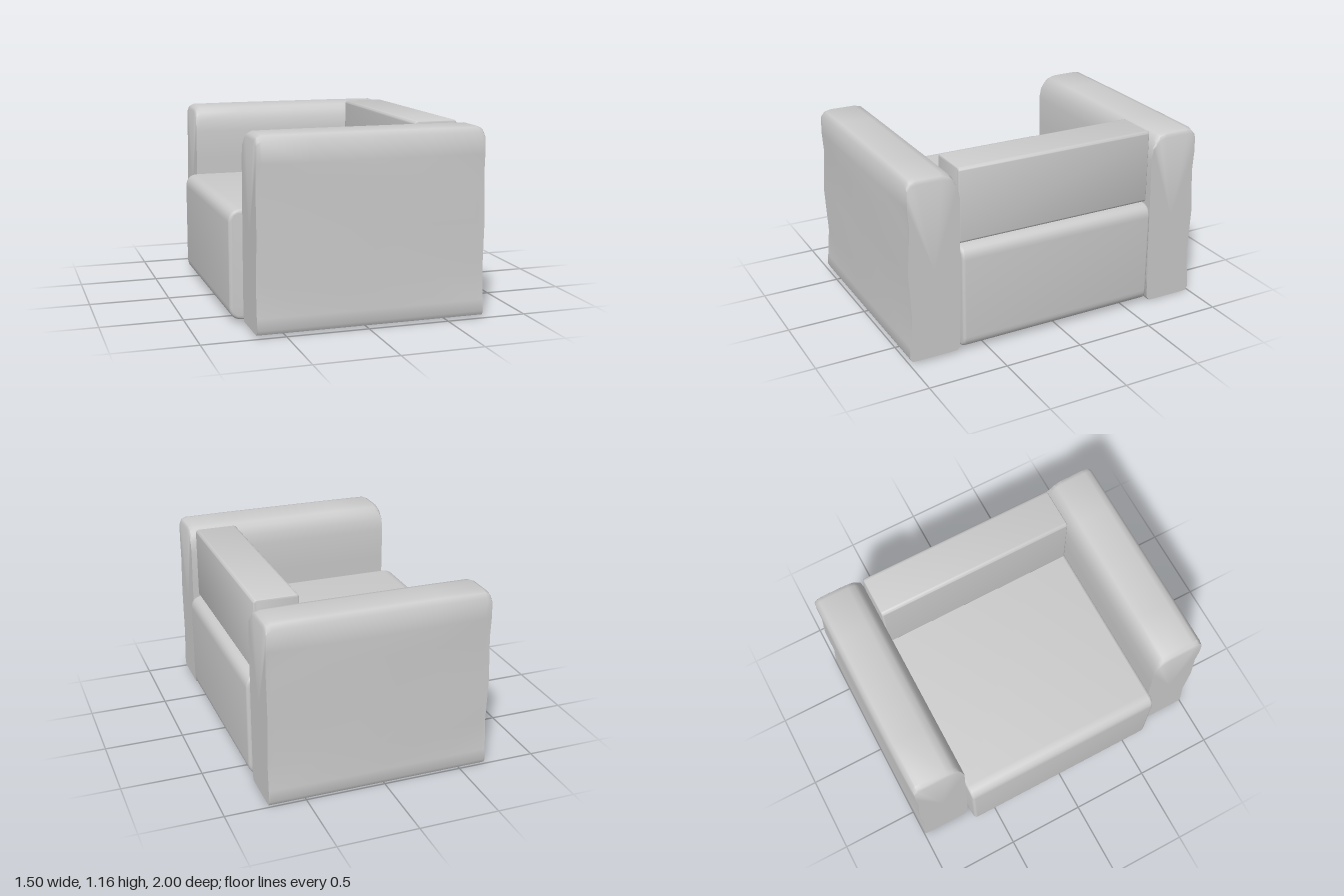
import * as THREE from 'three';
import { toCreasedNormals } from 'three/addons/utils/BufferGeometryUtils.js';

const material = new THREE.MeshStandardMaterial({ color: 0xcccccc, side: THREE.DoubleSide });

// Cushion block: rounded rectangle in x/y, softly bevelled along z
function cushion(name, [x0, x1], [y0, y1], [z0, z1], r, bevel) {
  const a = x0 + bevel, b = x1 - bevel, c = y0 + bevel, d = y1 - bevel;
  const s = new THREE.Shape();
  s.moveTo(a + r, c);
  s.lineTo(b - r, c);
  s.quadraticCurveTo(b, c, b, c + r);
  s.lineTo(b, d - r);
  s.quadraticCurveTo(b, d, b - r, d);
  s.lineTo(a + r, d);
  s.quadraticCurveTo(a, d, a, d - r);
  s.lineTo(a, c + r);
  s.quadraticCurveTo(a, c, a + r, c);
  const geo = new THREE.ExtrudeGeometry(s, {
    depth: z1 - z0 - 2 * bevel, bevelEnabled: true, bevelSize: bevel,
    bevelThickness: bevel, bevelSegments: 4, curveSegments: 6,
  });
  geo.translate(0, 0, z0 + bevel);
  const mesh = new THREE.Mesh(toCreasedNormals(geo, 0.7), material);
  mesh.name = name;
  return mesh;
}

// Arm outline as [z, y], from the inner bottom rim over the top to the outer rim
const ARM = [
  [0.72, 0.02], [0.69, 0.022], [0.673, 0.05], [0.67, 0.2], [0.665, 0.4], [0.662, 0.6],
  [0.659, 0.8], [0.655, 1.0], [0.668, 1.07], [0.688, 1.125], [0.715, 1.152], [0.76, 1.164],
  [0.92, 1.165], [0.955, 1.158], [0.975, 1.13], [0.985, 1.0], [0.984, 0.87], [0.987, 0.6],
  [0.987, 0.3], [0.993, 0.12], [0.995, 0.05], [0.98, 0.023], [0.95, 0.02],
];
// Stations along the arm: x, drop of the top edge, amount of waviness
const STATIONS = [
  [-0.67, 0.035, 1], [-0.66, 0.014, 1], [-0.635, 0.002, 0.9], [-0.35, 0, 0.2], [0.03, 0, 0],
  [0.4, 0, 0.2], [0.685, 0.002, 0.9], [0.715, 0.014, 1], [0.725, 0.035, 1],
];

// Hollow arm, open underneath, with closed ends
function arm(name, side, drop) {
  const pos = [], index = [], n = ARM.length, last = STATIONS.length - 1;
  for (const [x, lower, wave] of STATIONS) {
    for (const [z, y] of ARM) {
      const outer = z > 0.96 ? 1 : 0;
      const ripple = outer * wave * (0.008 * Math.cos(y * 11) - 0.004);
      const lean = 0.006 * (0.5 - y);
      pos.push(x + lean * Math.sign(x), y - drop - (y > 1.1 ? lower : 0),
        side * (z + ripple + outer * 0.004 * (1 - wave)));
    }
  }
  const face = (a, b, c) => (side > 0 ? index.push(a, b, c) : index.push(a, c, b));
  for (let i = 0; i < last; i++) {
    for (let j = 0; j < n - 1; j++) {
      const a = i * n + j, b = a + n;
      face(a, b, b + 1);
      face(a, b + 1, a + 1);
    }
  }
  // End panels fan out from a centre point
  for (const i of [0, last]) {
    const centre = pos.length / 3;
    pos.push(STATIONS[i][0], 0.58, side * 0.825);
    for (let j = 0; j < n; j++) {
      const a = i * n + j, b = i * n + ((j + 1) % n);
      if (i === 0) face(centre, a, b);
      else face(centre, b, a);
    }
  }
  const geo = new THREE.BufferGeometry();
  geo.setAttribute('position', new THREE.Float32BufferAttribute(pos, 3));
  geo.setIndex(index);
  const mesh = new THREE.Mesh(toCreasedNormals(geo, 0.75), material);
  mesh.name = name;
  return mesh;
}

export function createModel() {
  const chair = new THREE.Group();
  chair.name = 'armchair';
  chair.add(
    cushion('seat', [-0.75, 0.745], [0.02, 0.69], [-0.655, 0.655], 0.06, 0.02),
    cushion('backrest', [0.41, 0.69], [0.695, 1.165], [-0.655, 0.645], 0.012, 0.012),
    arm('leftArm', 1, 0),
    arm('rightArm', -1, 0.015),
  );
  return chair;
}
